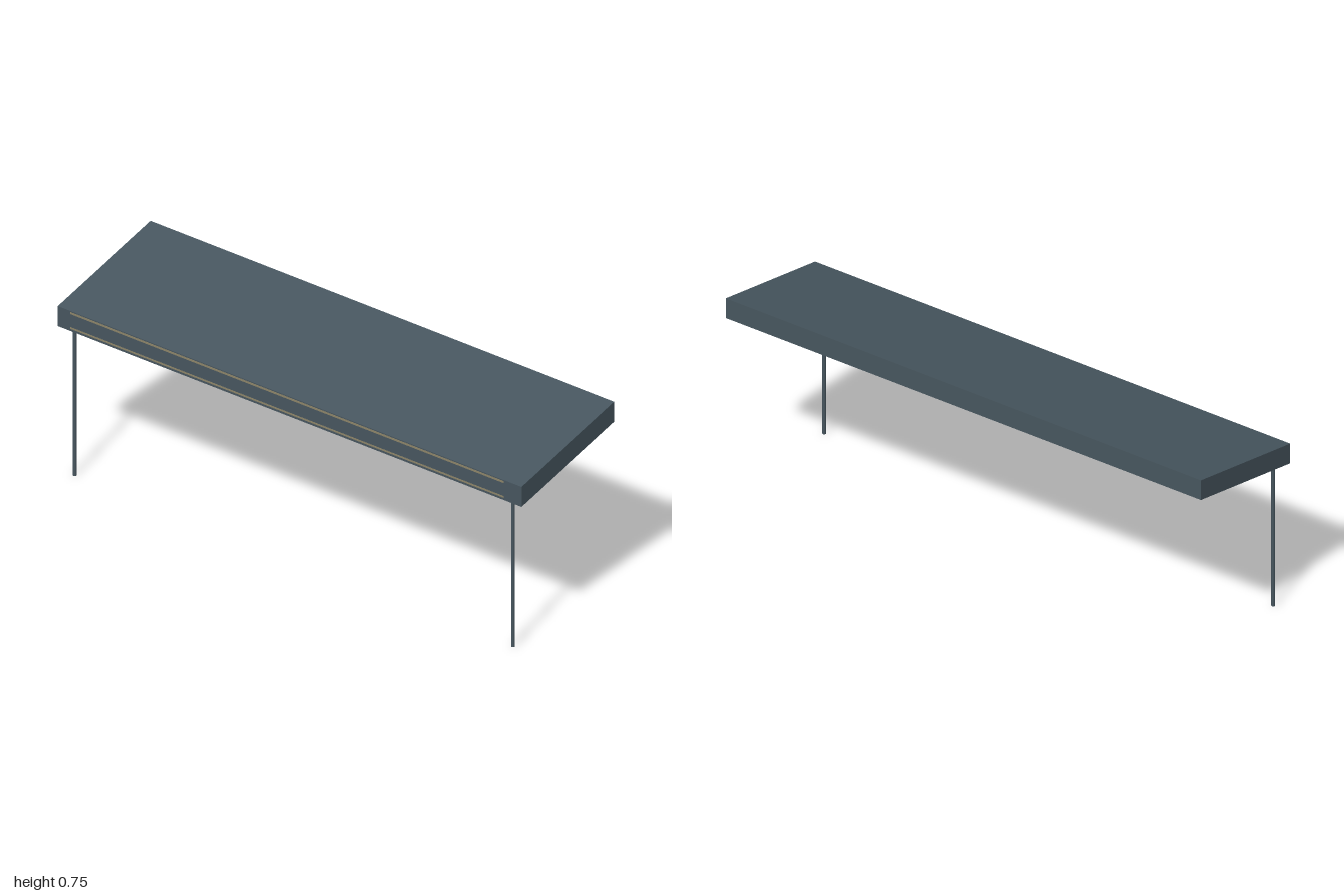
import * as THREE from 'three';

export function createModel() {
  const model = new THREE.Group();
  const slate = new THREE.MeshStandardMaterial({ name: 'slate grey', color: 0x47565f });
  const tan = new THREE.MeshStandardMaterial({ name: 'muted tan', color: 0x8c8468 });

  const add = (name, geometry, material, x = 0, y = 0, z = 0) => {
    const mesh = new THREE.Mesh(geometry, material);
    mesh.name = name;
    mesh.position.set(x, y, z);
    model.add(mesh);
    return mesh;
  };

  // Sloping roof slab with upright fascias: a box sheared along its depth
  const depth = 0.51, slope = 0.104 / depth;
  const roof = new THREE.BoxGeometry(2, 0.078, depth);
  const p = roof.attributes.position;
  for (let i = 0; i < p.count; i++) p.setY(i, p.getY(i) - p.getZ(i) * slope);
  roof.computeVertexNormals();
  add('roof', roof, slate, 0, 0.664, 0);

  // Slim round posts, ending inside the slab
  for (const [side, name] of [[1, 'leftPost'], [-1, 'rightPost']]) {
    add(name, new THREE.CylinderGeometry(0.0065, 0.0065, 0.59, 16), slate, side * 0.945, 0.295, 0.232);
  }

  // Thin trim lines on the front fascia
  add('upperTrim', new THREE.BoxGeometry(1.87, 0.008, 0.001), tan, -0.012, 0.643, 0.255);
  add('lowerTrim', new THREE.BoxGeometry(1.87, 0.007, 0.001), tan, -0.012, 0.585, 0.255);

  return model;
}
